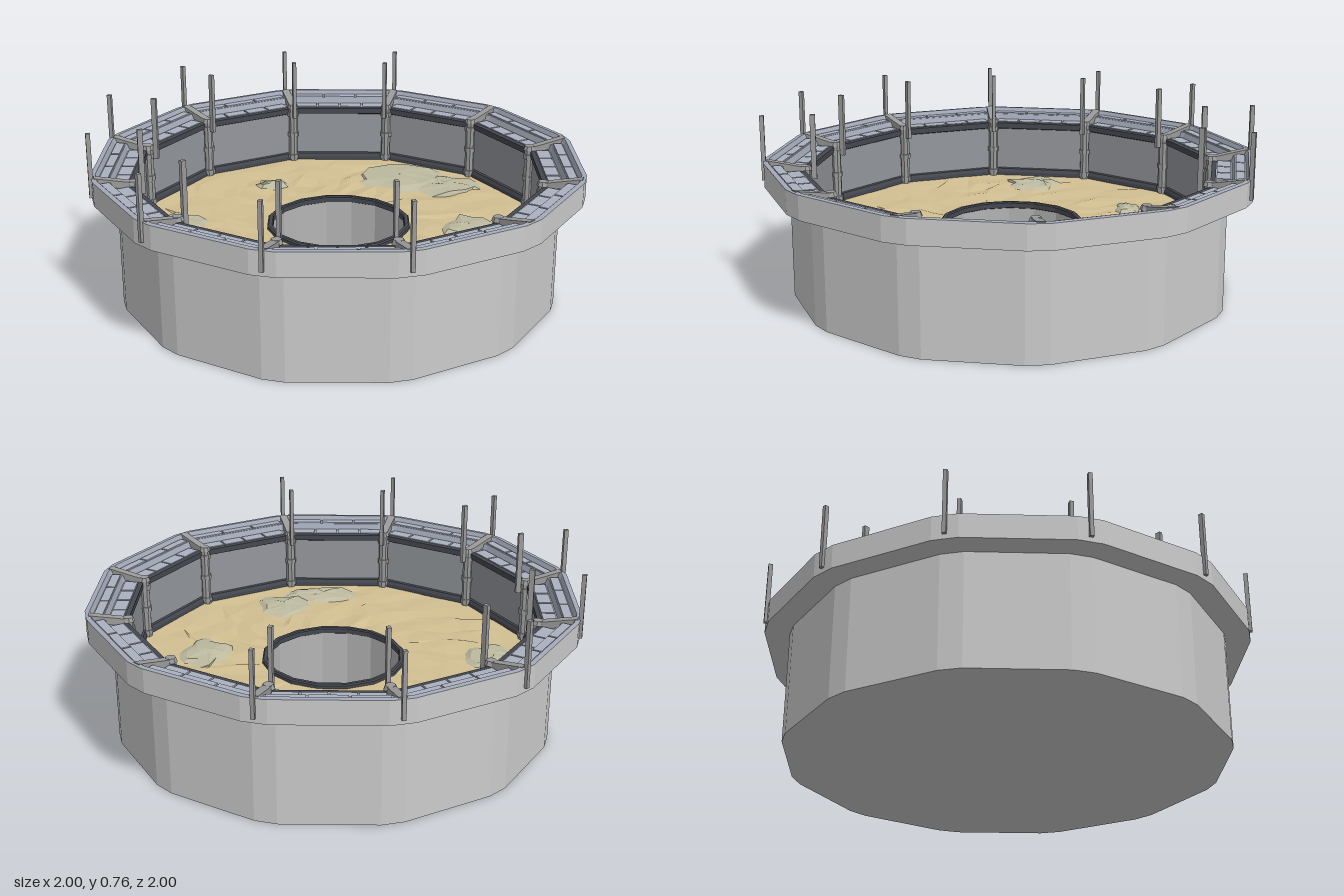
import * as THREE from 'three';

const SIDES = 12;
const STEP = (Math.PI * 2) / SIDES;
const HALF = STEP / 2;
const FLOOR = 0.27;
const HOLE = 0.295;

const mat = (color, side = THREE.FrontSide) =>
  new THREE.MeshStandardMaterial({ color, flatShading: true, side });
const grey = mat(0xcccccc);
const stone = mat(0xa3a9b8);
const block = mat(0xabb1c0);
const panel = mat(0x94979c);
const trim = mat(0x454850);
const metal = mat(0x9a9a9a);
const sand = mat(0xd2bf92, THREE.DoubleSide);
const gravel = mat(0xbdbaa0, THREE.DoubleSide);

// repeatable noise in the range -1..1
const noise = (a, b) => {
  const s = Math.sin(a * 127.1 + b * 311.7) * 43758.5453;
  return (s - Math.floor(s)) * 2 - 1;
};

// skin a list of closed loops of points
function skin(loops, material, name) {
  const pos = [];
  const n = loops[0].length;
  for (let j = 0; j < loops.length - 1; j++) {
    for (let i = 0; i < n; i++) {
      const k = (i + 1) % n;
      const a = loops[j][i], b = loops[j][k], c = loops[j + 1][k], d = loops[j + 1][i];
      pos.push(...a, ...b, ...c, ...a, ...c, ...d);
    }
  }
  const geo = new THREE.BufferGeometry();
  geo.setAttribute('position', new THREE.Float32BufferAttribute(pos, 3));
  geo.computeVertexNormals();
  const mesh = new THREE.Mesh(geo, material);
  mesh.name = name;
  return mesh;
}

// twelve-sided loop whose corners are cut by the angle 2 * cut
function loop(apothem, y, cut) {
  const pts = [];
  for (let i = 0; i < SIDES; i++) {
    for (const s of [-1, 1]) {
      const t = (i + 0.5) * STEP + s * cut;
      const r = apothem / Math.cos(HALF - cut);
      pts.push([r * Math.sin(t), y, r * Math.cos(t)]);
    }
  }
  return pts;
}
const ring = (profile, cut, material, name) =>
  skin(profile.map(([a, y]) => loop(a, y, cut)), material, name);

function add(parent, geo, material, name, x, y, z) {
  const mesh = new THREE.Mesh(geo, material);
  mesh.name = name;
  mesh.position.set(x, y, z);
  parent.add(mesh);
  return mesh;
}

// distance from the centre to the wall in direction t
const wallRadius = (t) => {
  const u = ((t + HALF) % STEP + STEP) % STEP - HALF;
  return 0.84 / Math.cos(u);
};

// uneven sand between the shaft and the wall
function sandFloor() {
  const loops = [];
  const rows = 6, cols = 48;
  for (let j = rows; j >= 0; j--) {
    const pts = [];
    for (let i = 0; i < cols; i++) {
      const inside = j > 0 && j < rows;
      const t = ((i + (inside ? noise(i, j) * 0.35 : 0)) / cols) * Math.PI * 2;
      const f = (j + (inside ? noise(j, i + 9) * 0.3 : 0)) / rows;
      const r = THREE.MathUtils.lerp(HOLE, wallRadius(t), f);
      const y = FLOOR + (inside ? noise(i + 3, j + 5) * 0.007 : 0);
      pts.push([r * Math.sin(t), y, r * Math.cos(t)]);
    }
    loops.push(pts);
  }
  return skin(loops, sand, 'sandFloor');
}

// low irregular mound of gravel
function mound(x, z, rx, rz, seed) {
  const loops = [[1, -0.012], [0.65, 0.012], [0.3, 0.017], [0.01, 0.02]].map(([f, h], j) => {
    const pts = [];
    for (let i = 0; i < 11; i++) {
      const t = (i / 11) * Math.PI * 2;
      const k = f * (1 + 0.22 * noise(i + seed, j));
      const y = FLOOR + h + (j === 1 || j === 2 ? noise(seed, i + j) * 0.006 : 0);
      pts.push([x + rx * k * Math.sin(t), y, z + rz * k * Math.cos(t)]);
    }
    return pts;
  });
  return skin(loops, gravel, 'gravelPatch');
}

// raised blocks along one straight row of the stand
function blockRow(parent, apothem, top, depth, count) {
  const length = 2 * apothem * Math.tan(HALF) - 0.05;
  const w = length / count;
  for (let i = 0; i < count; i++) {
    add(parent, new THREE.BoxGeometry(w - 0.008, 0.02, depth), block, 'seatBlock',
      (i + 0.5) * w - length / 2, top - 0.01, apothem);
  }
}

export function createModel() {
  const model = new THREE.Group();
  model.name = 'arena';

  // outer drum with overhanging rim
  model.add(ring([[0.001, 0], [0.9, 0], [0.9, 0.47], [1, 0.47], [1, 0.57]],
    0.05, grey, 'outerShell'));

  // stepped stand, inner wall and dark trims
  model.add(ring([[1, 0.57], [0.98, 0.572], [0.97, 0.55], [0.925, 0.55],
    [0.915, 0.522], [0.845, 0.522]], 0.042, stone, 'steppedStand'));
  model.add(ring([[0.85, 0.522], [0.84, 0.515], [0.84, 0.25]], 0.01, panel, 'innerWall'));
  model.add(ring([[0.85, 0.527], [0.83, 0.525], [0.83, 0.5], [0.842, 0.495]],
    0.01, trim, 'wallTopTrim'));
  model.add(ring([[0.842, 0.305], [0.832, 0.3], [0.826, 0.285], [0.826, 0.25]],
    0.01, trim, 'wallFootTrim'));

  // blocks on each side of the stand
  for (let i = 0; i < SIDES; i++) {
    const side = new THREE.Group();
    side.name = 'seatSection';
    side.rotation.y = i * STEP;
    blockRow(side, 0.947, 0.556, 0.036, 3);
    blockRow(side, 0.881, 0.529, 0.055, 4);
    model.add(side);
  }

  // corner pillars, beams and poles
  for (let i = 0; i < SIDES; i++) {
    const t = (i + 0.5) * STEP;
    const corner = new THREE.Group();
    corner.name = 'corner';
    corner.rotation.y = t;
    add(corner, new THREE.CylinderGeometry(0.021, 0.021, 0.27, 8), metal, 'pillar', 0, 0.395, 0.855);
    for (const y of [0.29, 0.4, 0.5]) {
      add(corner, new THREE.CylinderGeometry(0.026, 0.026, 0.02, 8), metal, 'pillarBand', 0, y, 0.855);
    }
    add(corner, new THREE.CylinderGeometry(0.02, 0.027, 0.018, 8), metal, 'pillarCap', 0, 0.538, 0.855);
    const beam = add(corner, new THREE.BoxGeometry(0.034, 0.03, 0.158), metal, 'beam', 0, 0.544, 0.938);
    beam.rotation.x = -0.2;
    if (Math.sin(t) < 0.3) {
      add(corner, new THREE.BoxGeometry(0.016, 0.27, 0.018), metal, 'outerPole', 0, 0.625, 1.025);
      add(corner, new THREE.BoxGeometry(0.016, 0.27, 0.022), metal, 'innerPole', 0, 0.625, 0.82);
    }
    model.add(corner);
  }

  // sand and gravel
  model.add(sandFloor());
  const patches = [[0.28, -0.57, 0.24, 0.2], [0.5, -0.46, 0.18, 0.14], [-0.31, -0.47, 0.09, 0.07],
    [-0.68, 0, 0.15, 0.16], [0.55, 0.04, 0.13, 0.18], [0.24, 0.57, 0.15, 0.16], [0.06, 0.7, 0.2, 0.11]];
  patches.forEach((p, i) => model.add(mound(...p, i * 7 + 2)));

  // central shaft with kerb and sandy bottom
  const shaft = new THREE.Group();
  shaft.name = 'shaft';
  shaft.rotation.y = Math.PI / 16;
  const lathe = (pts, material, name) => add(shaft,
    new THREE.LatheGeometry(pts.map(([r, y]) => new THREE.Vector2(r, y)), 16), material, name, 0, 0, 0);
  lathe([[0.288, 0.285], [0.288, 0.01]], mat(0xb4b4b4, THREE.DoubleSide), 'shaftWall');
  lathe([[0.306, 0.25], [0.306, 0.283], [0.3, 0.288], [0.286, 0.288], [0.282, 0.283], [0.282, 0.262], [0.29, 0.258]],
    mat(0x454850, THREE.DoubleSide), 'shaftKerb');
  const bottom = add(shaft, new THREE.CircleGeometry(0.29, 16), sand, 'shaftBottom', 0, 0.012, 0);
  bottom.rotation.x = -Math.PI / 2;
  model.add(shaft);

  return model;
}
